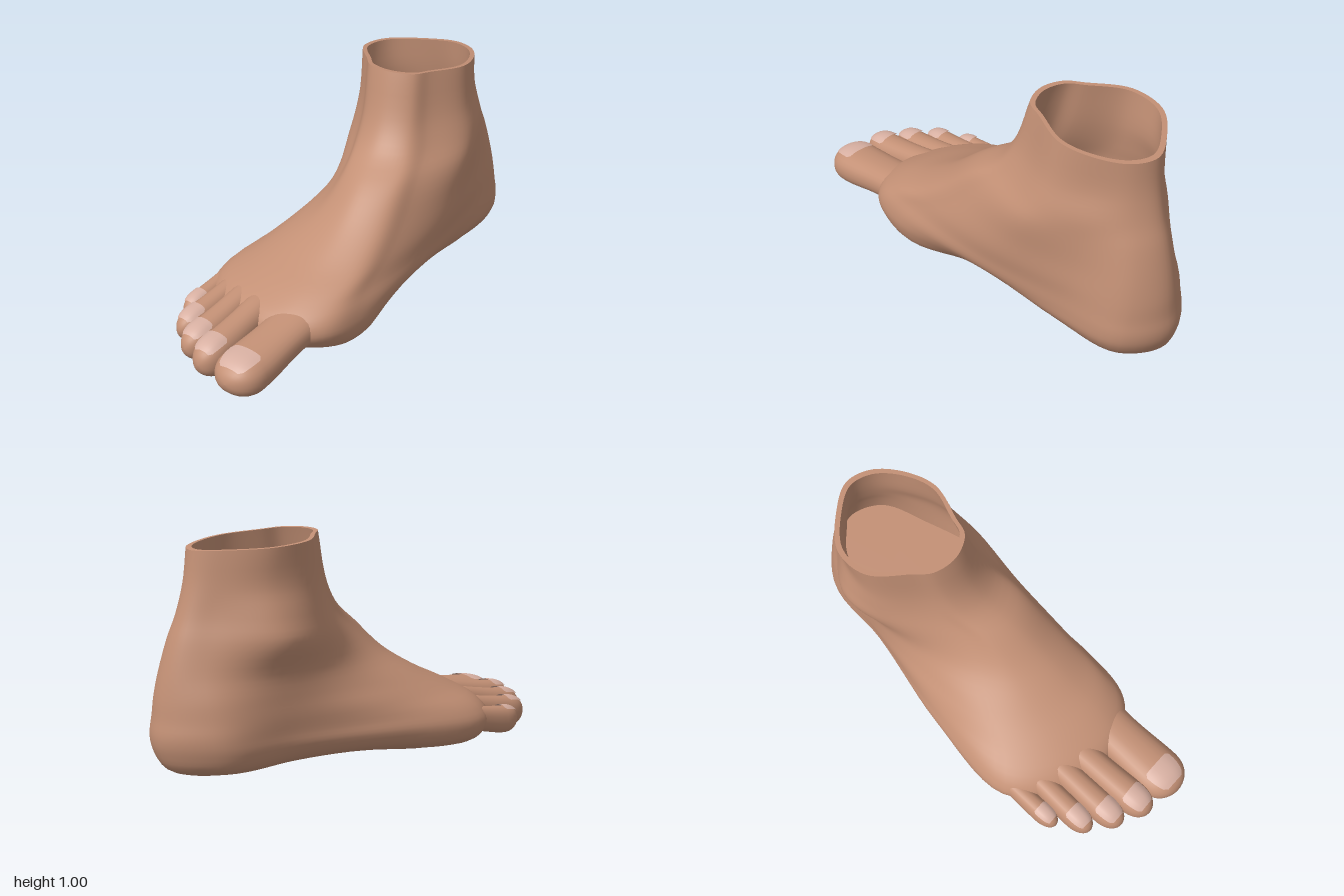
import * as THREE from 'three';

const V = (x, y, z) => new THREE.Vector3(x, y, z);
const { smoothstep: smooth, lerp } = THREE.MathUtils;

// Horizontal slices of the foot, sole to ankle:
// y, zBack, zFront, xBack, xFront, 4 inner-side x, 4 outer-side x (heel to ball)
const SLICES = [
  [0.00, -0.82, 0.52, 0.17, 0.00, 0.23, 0.23, 0.13, 0.20, 0.09, 0.02, -0.12, -0.22],
  [0.05, -0.95, 0.61, 0.19, 0.02, 0.34, 0.33, 0.25, 0.31, -0.01, -0.09, -0.27, -0.38],
  [0.13, -0.99, 0.66, 0.20, 0.05, 0.38, 0.39, 0.34, 0.34, -0.03, -0.13, -0.31, -0.41],
  [0.20, -1.00, 0.64, 0.20, 0.07, 0.385, 0.40, 0.385, 0.34, -0.03, -0.13, -0.29, -0.37],
  [0.27, -0.99, 0.54, 0.20, 0.10, 0.375, 0.40, 0.395, 0.33, -0.02, -0.13, -0.25, -0.27],
  [0.35, -0.98, 0.37, 0.20, 0.12, 0.36, 0.40, 0.41, 0.34, 0.00, -0.12, -0.19, -0.18],
  [0.45, -0.96, 0.21, 0.19, 0.14, 0.34, 0.39, 0.415, 0.34, 0.03, -0.12, -0.15, -0.08],
  [0.58, -0.925, 0.05, 0.18, 0.14, 0.31, 0.38, 0.42, 0.33, 0.04, -0.17, -0.16, -0.03],
  [0.68, -0.89, -0.10, 0.17, 0.13, 0.28, 0.365, 0.40, 0.31, 0.05, -0.14, -0.16, -0.04],
  [0.80, -0.86, -0.18, 0.16, 0.12, 0.26, 0.33, 0.365, 0.28, 0.04, -0.11, -0.15, -0.04],
  [0.97, -0.84, -0.24, 0.15, 0.11, 0.25, 0.32, 0.34, 0.26, 0.02, -0.13, -0.155, -0.05],
];
const STATIONS = [0.08, 0.28, 0.55, 0.82];
const TOP = SLICES.length - 1;

// Outline points of one slice, running round from the heel by the inner side
function outline([y, zb, zf, xb, xf, ...xs]) {
  const at = (i) => V(xs[i], y, lerp(zb, zf, STATIONS[i % 4]));
  const front = V(xf, y, zf);
  // rounded front corner, pushed out towards the square corner by k
  const corner = (p, k) => p.clone().lerp(front, 0.5).lerp(V(p.x, y, zf), k);
  return [V(xb, y, zb), at(0), at(1), at(2), at(3), corner(at(3), 0.42),
    front, corner(at(7), 0.32), at(7), at(6), at(5), at(4)];
}
const outlines = SLICES.map(outline);
const columns = outlines[0].map((_, j) => new THREE.CatmullRomCurve3(outlines.map((o) => o[j])));

// Smooth ring at any slice position v
function ringAt(v, n = 84) {
  const curve = new THREE.CatmullRomCurve3(columns.map((c) => c.getPoint(v / TOP)), true);
  return Array.from({ length: n }, (_, k) => curve.getPoint(k / n));
}

// Scale a ring in plan about its middle
function shrink(ring, f) {
  const c = ring.reduce((s, p) => s.add(p), V(0, 0, 0)).divideScalar(ring.length);
  return ring.map((p) => V(c.x + (p.x - c.x) * f, p.y, c.z + (p.z - c.z) * f));
}

// Raise the arch, heel and toe pads; slope the ankle rim
function warp(ring) {
  return ring.map(({ x, y, z }) => {
    const arch = 0.04 * Math.exp(-(((z + 0.2) / 0.3) ** 2));
    const lift = arch + 0.02 * (1 - smooth(z, -0.6, -0.1)) + 0.03 * smooth(z, 0.4, 0.6);
    const rim = (z + 0.54) * 0.1 * smooth(y, 0.75, 0.97);
    return V(x, y + lift * Math.max(0, 1 - y / 0.2) + rim, z);
  });
}

// Skin a list of equal rings; closed joins the last point to the first
function loft(rings, closed = true) {
  const n = rings[0].length, pos = [], index = [];
  rings.forEach((r) => r.forEach((p) => pos.push(p.x, p.y, p.z)));
  for (let i = 0; i < rings.length - 1; i++) {
    for (let k = 0; k < (closed ? n : n - 1); k++) {
      const a = i * n + k, b = i * n + ((k + 1) % n);
      index.push(a, a + n, b, b, a + n, b + n);
    }
  }
  const g = new THREE.BufferGeometry();
  g.setAttribute('position', new THREE.Float32BufferAttribute(pos, 3));
  g.setIndex(index);
  g.computeVertexNormals();
  return g;
}

// Toes, big to little: base x, z, tip x, z, half width, half height, base y, tip y, nail half angle
const TOES = [
  { name: 'bigToe', base: [0.135, 0.42], tip: [0.058, 1.0], w: 0.115, h: 0.084, y0: 0.165, y1: 0.112, nail: 0.64 },
  { name: 'secondToe', base: [-0.055, 0.44], tip: [-0.103, 0.95], w: 0.074, h: 0.083, y0: 0.165, y1: 0.115, nail: 0.76 },
  { name: 'middleToe', base: [-0.155, 0.38], tip: [-0.222, 0.875], w: 0.066, h: 0.078, y0: 0.165, y1: 0.108, nail: 0.76 },
  { name: 'fourthToe', base: [-0.245, 0.3], tip: [-0.322, 0.775], w: 0.057, h: 0.072, y0: 0.155, y1: 0.104, nail: 0.76 },
  { name: 'littleToe', base: [-0.335, 0.22], tip: [-0.388, 0.635], w: 0.046, h: 0.062, y0: 0.14, y1: 0.098, nail: 0.76 },
];

// Point on a toe: t from base to tip, a = angle from the top, raised by out
function toePoint(toe, t, a, out = 0) {
  const [bx, bz] = toe.base, [tx, tz] = toe.tip;
  const d = V(tx - bx, 0, tz - bz).normalize();
  // slight waist behind a blunt rounded tip
  const f = t > 0.78
    ? Math.sqrt(Math.max(0, 1 - ((t - 0.78) / 0.22) ** 2.4))
    : 1 - 0.08 * Math.sin((Math.PI * t) / 0.78) ** 2;
  const full = (s) => Math.sign(s) * Math.abs(s) ** 0.88;
  const side = full(Math.sin(a)) * (toe.w * f + out), up = full(Math.cos(a)) * (toe.h * f + out);
  const y = lerp(toe.y0, toe.y1, smooth(t, 0.1, 0.9));
  return V(lerp(bx, tx, t) + d.z * side, y + up, lerp(bz, tz, t) - d.x * side);
}

const range = (n, from, to) => Array.from({ length: n + 1 }, (_, i) => lerp(from, to, i / n));

export function createModel() {
  const skin = new THREE.MeshStandardMaterial({ color: 0xc39075 });
  skin.name = 'skin';
  const nail = new THREE.MeshStandardMaterial({ color: 0xd8b0a2, side: THREE.DoubleSide });
  nail.name = 'nail';

  const model = new THREE.Group();
  model.name = 'foot';
  const add = (name, geometry, material) => {
    const mesh = new THREE.Mesh(geometry, material);
    mesh.name = name;
    model.add(mesh);
  };

  // Sole, foot and ankle in one skin
  const sole = [0, 0.2, 0.4, 0.6, 0.8, 0.92].map((f) => shrink(ringAt(0), f));
  const sides = range(TOP * 4, 0, TOP).map((v) => ringAt(v));
  add('footAndAnkle', loft([...sole, ...sides].map(warp)), skin);

  // Cut edge and hollow inside of the ankle
  const inside = range(16, TOP, 6).map((v) => shrink(ringAt(v), 0.92));
  add('ankleRim', loft([ringAt(TOP), inside[0]].map(warp)), skin);
  add('ankleInside', loft(inside.map(warp)), skin);
  const floor = inside[inside.length - 1];
  add('ankleFloor', loft([floor, shrink(floor, 0.5), shrink(floor, 0)].map(warp)), skin);

  // Toes with rounded tips, and a thin nail following each top
  const along = [...range(14, 0, 0.78), ...range(12, 0, Math.PI / 2).slice(1).map((q) => 0.78 + 0.22 * Math.sin(q))];
  const around = range(28, 0, Math.PI * 2).slice(0, 28);
  for (const toe of TOES) {
    add(toe.name, loft(along.map((t) => around.map((a) => toePoint(toe, t, a)))), skin);
    const plate = range(8, 0.75, 0.95).map((t, i) => {
      const half = toe.nail * (i === 0 || i === 8 ? 0.8 : 1);
      return range(8, -half, half).map((a) => toePoint(toe, t, a, 0.006));
    });
    add(toe.name + 'Nail', loft(plate, false), nail);
  }
  return model;
}
